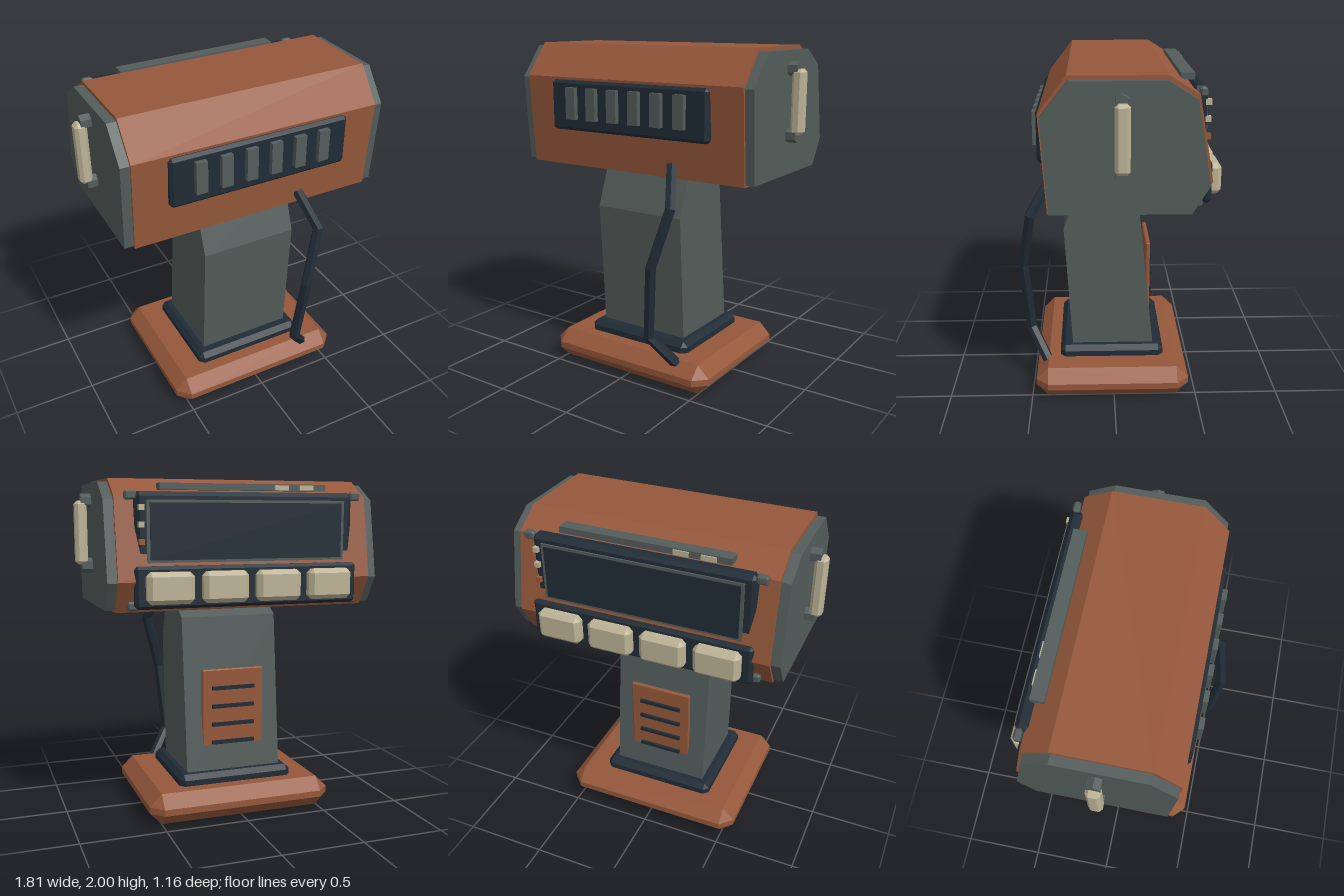
import * as THREE from 'three';
import { ConvexGeometry } from 'three/addons/geometries/ConvexGeometry.js';

const mat = (name, color) => {
  const m = new THREE.MeshStandardMaterial({ color });
  m.name = name;
  return m;
};

// Box given by its limits, with every edge cut off by c
function chamferBox([x0, x1], [y0, y1], [z0, z1], c) {
  const hx = (x1 - x0) / 2, hy = (y1 - y0) / 2, hz = (z1 - z0) / 2;
  const pts = [];
  for (const i of [-1, 1]) for (const j of [-1, 1]) for (const k of [-1, 1]) {
    pts.push(new THREE.Vector3(i * hx, j * (hy - c), k * (hz - c)));
    pts.push(new THREE.Vector3(i * (hx - c), j * hy, k * (hz - c)));
    pts.push(new THREE.Vector3(i * (hx - c), j * (hy - c), k * hz));
  }
  return new ConvexGeometry(pts).translate((x0 + x1) / 2, (y0 + y1) / 2, (z0 + z1) / 2);
}

function box([x0, x1], [y0, y1], [z0, z1]) {
  return new THREE.BoxGeometry(x1 - x0, y1 - y0, z1 - z0)
    .translate((x0 + x1) / 2, (y0 + y1) / 2, (z0 + z1) / 2);
}

// Side profile of [z, y] points, extruded across x from x0 to x1
function sideExtrude(profile, x0, x1) {
  const shape = new THREE.Shape(profile.map(([z, y]) => new THREE.Vector2(z, y)));
  return new THREE.ExtrudeGeometry(shape, { depth: x1 - x0, bevelEnabled: false })
    .rotateY(-Math.PI / 2).translate(x1, 0, 0);
}

export function createModel() {
  const model = new THREE.Group();
  const rust = mat('rust', 0x96583b);
  const grey = mat('slate grey', 0x535d5b);
  const dark = mat('dark navy', 0x202c36);
  const cream = mat('cream', 0xbdb396);
  const cableMat = mat('cable navy', 0x202c36);
  cableMat.flatShading = true;
  const add = (name, geometry, material) => {
    const mesh = new THREE.Mesh(geometry, material);
    mesh.name = name;
    model.add(mesh);
    return mesh;
  };

  // Foot, collar and leaning column
  add('base', chamferBox([-0.57, 0.57], [0, 0.185], [-0.455, 0.475], 0.073), rust);
  add('collar', chamferBox([-0.36, 0.36], [0.15, 0.25], [-0.31, 0.33], 0.03), dark);
  add('column', sideExtrude(
    [[0.25, 0.2], [0.297, 1.01], [0.2, 1.275], [0, 1.275], [-0.15, 1.19], [-0.252, 0.2]], -0.3, 0.3), grey);

  // Vent on the back of the column
  add('ventPanel', chamferBox([-0.195, 0.195], [0.31, 0.875], [-0.231, -0.205], 0.006), rust);
  for (let i = 0; i < 4; i++) {
    const y = 0.76 - i * 0.113;
    add('ventSlat', box([-0.135, 0.135], [y - 0.011, y + 0.011], [-0.247, -0.22]), dark);
  }

  // Head with inset end plates
  add('head', sideExtrude([[0.25, 2], [-0.27, 2], [-0.43, 1.9], [-0.512, 1.44],
    [-0.41, 1.267], [0.365, 1.267], [0.403, 1.805]], -0.755, 0.755), rust);
  const plate = [[0.242, 1.98], [-0.262, 1.98], [-0.414, 1.885], [-0.494, 1.435],
    [-0.4, 1.28], [0.355, 1.28], [0.39, 1.795]];
  for (const s of [-1, 1]) {
    add('endPlate', sideExtrude(plate, s * 0.78 - 0.03, s * 0.78 + 0.03), grey);
    // Carry handle on two hexagonal mounts
    const xs = (a, b) => (s > 0 ? [a, b] : [-b, -a]);
    for (const y of [1.88, 1.51]) {
      const mount = new THREE.CylinderGeometry(0.042, 0.042, 0.08, 6).toNonIndexed();
      mount.computeVertexNormals();
      mount.rotateZ(Math.PI / 2).rotateX(Math.PI / 2).translate(s * 0.83, y, -0.03);
      add('handleMount', mount, grey);
    }
    add('handleGrip', chamferBox(xs(0.835, 0.905), [1.515, 1.88], [-0.07, 0.01], 0.018), cream);
    // Corner bolts of the rear console
    add('upperBolt', chamferBox(xs(0.64, 0.705), [1.88, 1.93], [-0.475, -0.435], 0.01), grey);
    add('lowerBolt', chamferBox(xs(0.64, 0.695), [1.28, 1.33], [-0.47, -0.4], 0.01), grey);
  }

  // Front speaker panel
  add('frontPanel', chamferBox([-0.553, 0.553], [1.49, 1.79], [0.36, 0.425], 0.018), dark);
  for (let i = 0; i < 6; i++) {
    const x = (i - 2.5) * 0.153;
    add('frontSlot', box([x - 0.034, x + 0.034], [1.56, 1.75], [0.41, 0.455]), grey);
  }

  // Rear display with hood
  add('displayFrame', chamferBox([-0.65, 0.65], [1.51, 1.925], [-0.485, -0.4], 0.025), dark);
  add('displayRim', box([-0.59, 0.59], [1.54, 1.88], [-0.494, -0.47]), grey);
  add('displayScreen', box([-0.572, 0.572], [1.555, 1.865], [-0.499, -0.492]), dark);
  add('displayHood', box([-0.5, 0.5], [1.935, 1.972], [-0.432, -0.355]), grey);
  for (const x of [-0.375, -0.22]) {
    add('hoodLabel', box([x - 0.043, x + 0.043], [1.938, 1.966], [-0.44, -0.431]), cream);
  }
  [[1.84, cream], [1.748, cream], [1.655, rust]].forEach(([y, m]) =>
    add('indicator', box([0.605, 0.635], [y - 0.015, y + 0.015], [-0.508, -0.47]), m));

  // Rear row of large buttons
  add('buttonPanel', chamferBox([-0.665, 0.665], [1.29, 1.525], [-0.522, -0.47], 0.018), dark);
  for (let i = 0; i < 4; i++) {
    const x = (i - 1.5) * 0.317;
    add('button', chamferBox([x - 0.133, x + 0.133], [1.32, 1.495], [-0.583, -0.5], 0.025), cream);
  }

  // Kinked cable from head to base
  const path = [[0.28, 1.34, 0.355], [0.36, 1.12, 0.49], [0.265, 0.775, 0.548],
    [0.225, 0.335, 0.512], [0.35, 0.155, 0.405]].map(p => new THREE.Vector3(...p));
  const curve = new THREE.Curve();
  curve.getPoint = t => {
    const i = Math.min(Math.floor(t * 4), 3);
    return path[i].clone().lerp(path[i + 1], t * 4 - i);
  };
  curve.getUtoTmapping = u => u;
  cableMat.side = THREE.DoubleSide;
  add('cable', new THREE.TubeGeometry(curve, 4, 0.034, 6, false), cableMat);

  return model;
}
